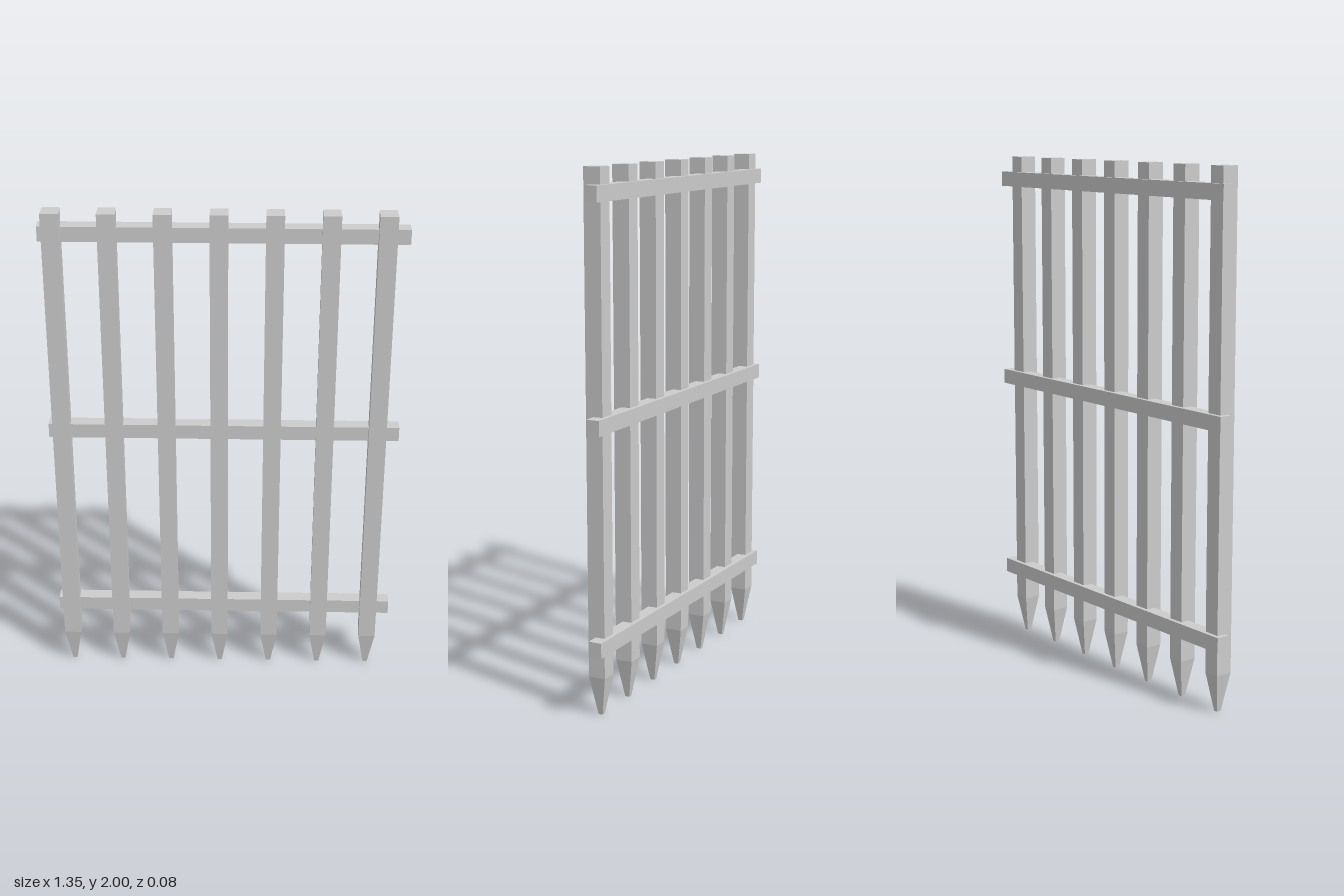
import * as THREE from 'three';

const material = new THREE.MeshStandardMaterial({ color: 0xcccccc, flatShading: true });

// Square stake with a blunt, tapered point at the bottom
function stakeGeometry() {
  const width = 0.066, height = 2, pointHeight = 0.15, tipScale = 0.26;
  const geo = new THREE.BoxGeometry(width, height, width, 1, 2, 1);
  geo.translate(0, height / 2, 0);
  const pos = geo.attributes.position;
  for (let i = 0; i < pos.count; i++) {
    const y = pos.getY(i);
    // front face is a hair wider than the back
    const flare = pos.getZ(i) > 0 ? 1.02 : 0.97;
    pos.setX(i, pos.getX(i) * flare);
    if (y < 0.01) {
      pos.setX(i, pos.getX(i) * tipScale);
      pos.setZ(i, pos.getZ(i) * tipScale);
    } else if (y < 1.5) {
      pos.setY(i, pointHeight);
    }
  }
  geo.computeVertexNormals();
  return geo;
}

export function createModel() {
  const group = new THREE.Group();
  group.name = 'fence';

  // Seven upright stakes
  const stake = stakeGeometry();
  for (let i = 0; i < 7; i++) {
    const mesh = new THREE.Mesh(stake, material);
    mesh.name = `stake${i + 1}`;
    mesh.position.set(-0.622 + i * 0.202, 0, 0.008);
    group.add(mesh);
  }

  // Three cross rails let into the back of the stakes
  const rail = new THREE.BoxGeometry(1.348, 0.058, 0.052);
  [['lowerRail', 0.276], ['middleRail', 1.094], ['upperRail', 1.91]].forEach(([name, y]) => {
    const mesh = new THREE.Mesh(rail, material);
    mesh.name = name;
    mesh.position.set(0, y, -0.015);
    group.add(mesh);
  });

  return group;
}
